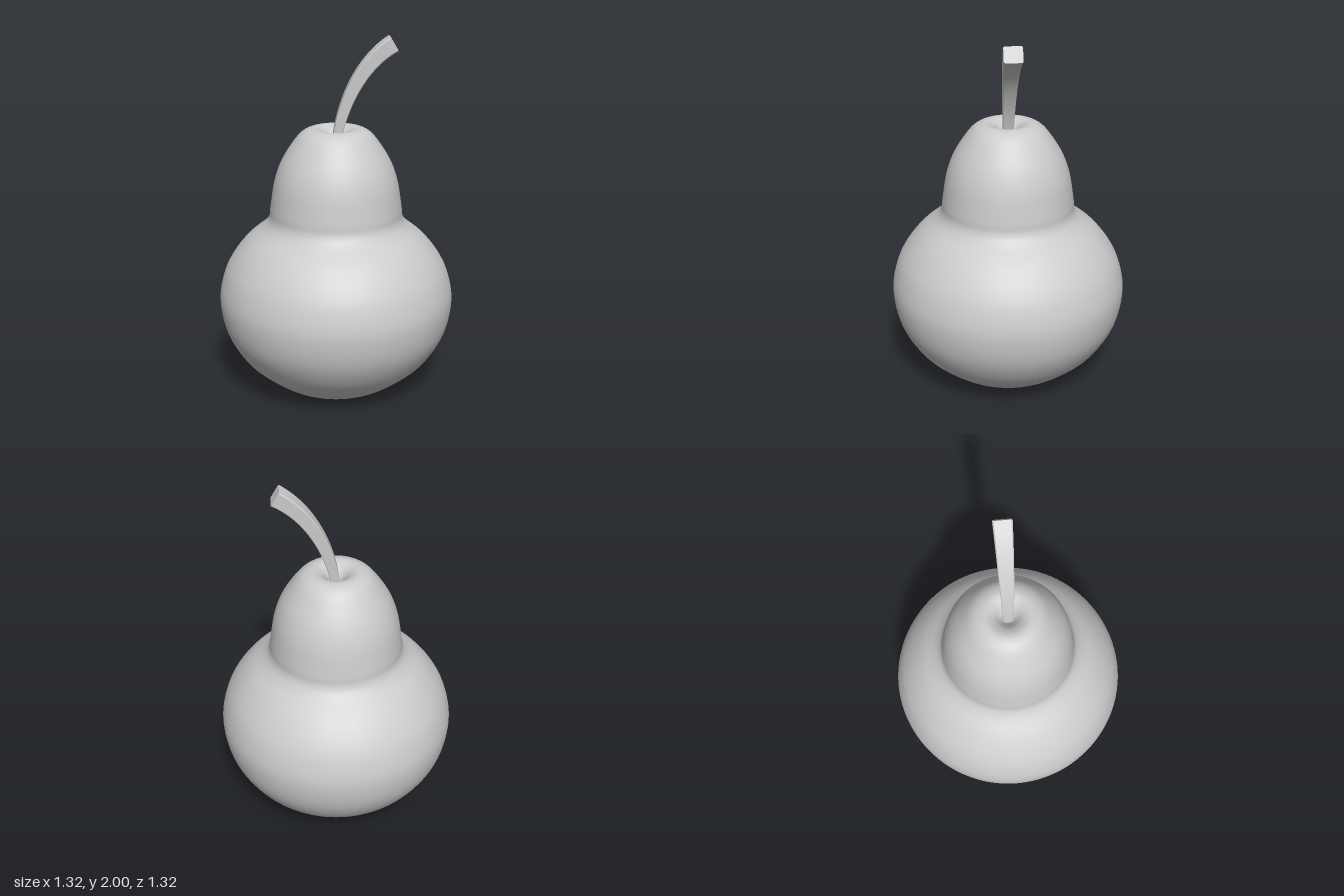
import * as THREE from 'three';
import { toCreasedNormals } from 'three/addons/utils/BufferGeometryUtils.js';

const material = new THREE.MeshStandardMaterial({ color: 0xcccccc });

// Fruit body: smooth lathe with flat base, waist and a dimple on top
function createBody() {
  const profile = new THREE.SplineCurve([
    [0.27, 0], [0.335, 0.025], [0.44, 0.1], [0.545, 0.2], [0.63, 0.35], [0.66, 0.52],
    [0.635, 0.66], [0.585, 0.765], [0.505, 0.865], [0.41, 0.945], [0.375, 0.995],
    [0.366, 1.06], [0.343, 1.2], [0.305, 1.31], [0.245, 1.41], [0.19, 1.475],
    [0.13, 1.5], [0.08, 1.485], [0.045, 1.455], [0.025, 1.435],
  ].map(([r, y]) => new THREE.Vector2(r, y)));
  const points = [
    new THREE.Vector2(0, 0),
    new THREE.Vector2(0.25, 0),
    ...profile.getPoints(110).map((p) => new THREE.Vector2(p.x, Math.max(0, p.y))),
    new THREE.Vector2(0, 1.43),
  ];
  const mesh = new THREE.Mesh(new THREE.LatheGeometry(points, 96), material);
  mesh.name = 'fruitBody';
  return mesh;
}

// Stem: chamfered square bar, bent along a curve and widening to its tip
function createStem() {
  const path = new THREE.CubicBezierCurve(
    new THREE.Vector2(0, 1.4), new THREE.Vector2(0.02, 1.6),
    new THREE.Vector2(0.12, 1.85), new THREE.Vector2(0.312, 1.962));
  const geometry = new THREE.CylinderGeometry(1, 1, 1, 8, 24, false, Math.PI / 8);
  const pos = geometry.attributes.position;
  const square = (v) => (Math.abs(v) < 0.1 ? 0 : Math.sign(v) * (Math.abs(v) > 0.5 ? 1 : 0.86));
  for (let i = 0; i < pos.count; i++) {
    const t = THREE.MathUtils.clamp(pos.getY(i) + 0.5, 0, 1);
    const centre = path.getPoint(t);
    const tangent = path.getTangent(t);
    const side = square(pos.getX(i)) * THREE.MathUtils.lerp(0.023, 0.044, t);
    const depth = square(pos.getZ(i)) * THREE.MathUtils.lerp(0.026, 0.05, t);
    pos.setXYZ(i, centre.x + tangent.y * side, centre.y - tangent.x * side, depth);
  }
  const mesh = new THREE.Mesh(toCreasedNormals(geometry, 0.5), material);
  mesh.name = 'stem';
  return mesh;
}

export function createModel() {
  const group = new THREE.Group();
  group.name = 'pear';
  group.add(createBody(), createStem());
  return group;
}
